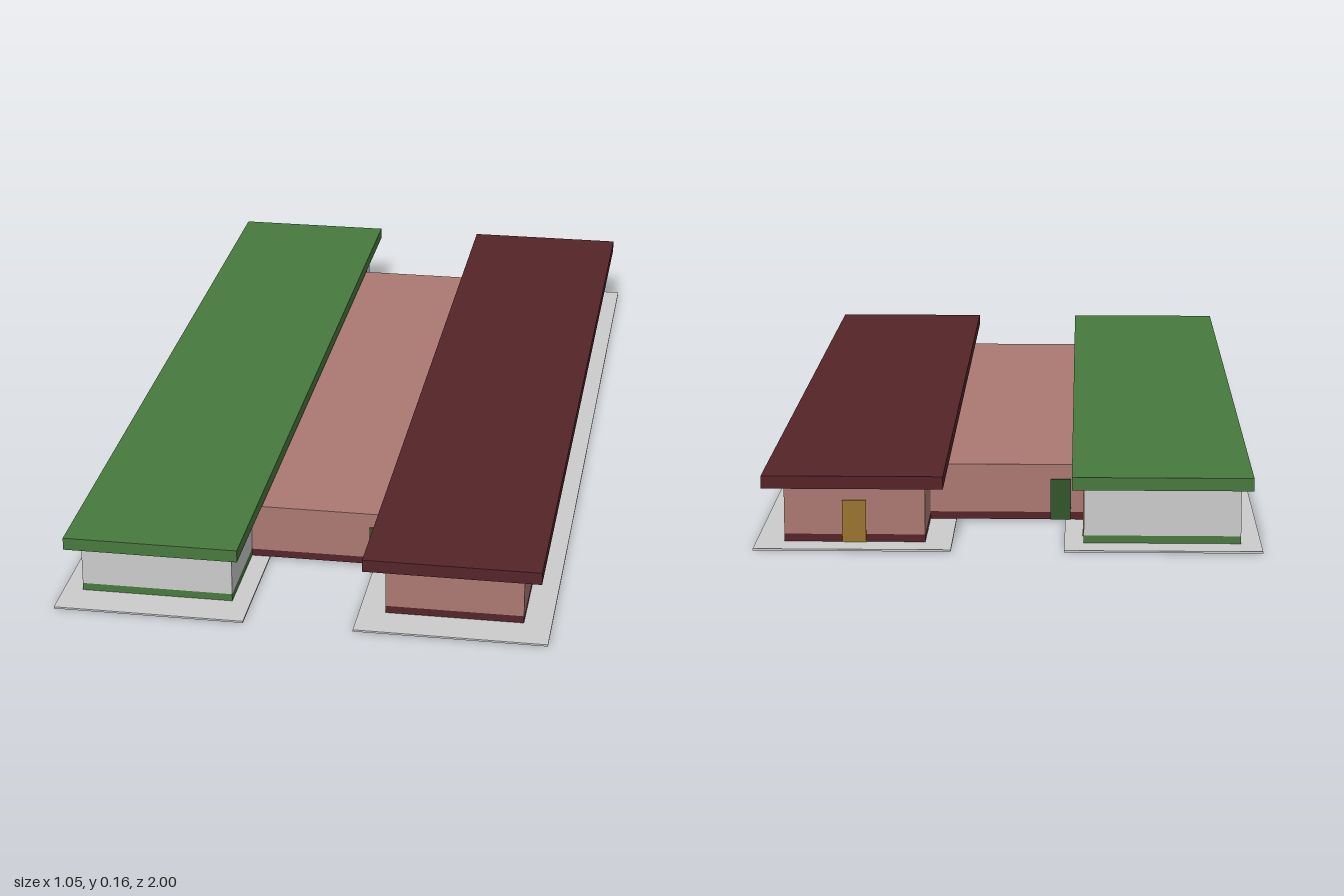
import * as THREE from 'three';

const material = (color) => new THREE.MeshStandardMaterial({ color });

export function createModel() {
  const model = new THREE.Group();
  const grey = material(0xcccccc);
  const green = material(0x48793e);
  const maroon = material(0x552428);
  const pink = material(0xac7872);
  const darkGreen = material(0x33552c);
  const blue = material(0x3d5a7a);
  const gold = material(0x9a7430);

  // Box given by its extents along each axis
  const block = (parent, name, mat, [x0, x1], [y0, y1], [z0, z1]) => {
    const mesh = new THREE.Mesh(new THREE.BoxGeometry(x1 - x0, y1 - y0, z1 - z0), mat);
    mesh.position.set((x0 + x1) / 2, (y0 + y1) / 2, (z0 + z1) / 2);
    mesh.name = name;
    parent.add(mesh);
  };

  // Two long wings: paving slab, skirting band, walls and overhanging flat roof
  const wings = [
    { name: 'rightWing', slab: [-0.527, -0.118], wall: [-0.485, -0.158], roof: [-0.507, -0.133], wallMat: grey, trim: green },
    { name: 'leftWing', slab: [0.116, 0.525], wall: [0.172, 0.466], roof: [0.132, 0.507], wallMat: pink, trim: maroon },
  ];
  for (const w of wings) {
    const wing = new THREE.Group();
    wing.name = w.name;
    block(wing, 'pavingSlab', grey, w.slab, [0, 0.004], [-1, 1]);
    block(wing, 'skirting', w.trim, w.wall, [0.004, 0.02], [-0.937, 0.915]);
    block(wing, 'walls', w.wallMat, w.wall, [0.02, 0.129], [-0.937, 0.915]);
    block(wing, 'roof', w.trim, w.roof, [0.129, 0.156], [-0.99, 0.975]);
    model.add(wing);
  }

  // Lower hall joining the wings
  const hall = new THREE.Group();
  hall.name = 'connectingHall';
  block(hall, 'skirting', maroon, [-0.158, 0.172], [0.004, 0.02], [-0.737, 0.7]);
  block(hall, 'walls', pink, [-0.158, 0.172], [0.02, 0.125], [-0.737, 0.7]);
  model.add(hall);

  // Doors, standing slightly proud of the walls
  const doors = new THREE.Group();
  doors.name = 'doors';
  block(doors, 'mainDoor', blue, [0.46, 0.468], [0.004, 0.107], [-0.077, 0.052]);
  block(doors, 'hallFrontDoor', darkGreen, [0.104, 0.149], [0.004, 0.093], [0.695, 0.703]);
  block(doors, 'hallBackDoor', darkGreen, [-0.13, -0.086], [0.004, 0.093], [-0.74, -0.732]);
  block(doors, 'leftWingBackDoor', gold, [0.295, 0.345], [0.004, 0.093], [-0.94, -0.932]);
  block(doors, 'leftWingInnerDoor', darkGreen, [0.17, 0.178], [0.004, 0.093], [0.83, 0.88]);
  block(doors, 'rightWingInnerDoor', gold, [-0.164, -0.156], [0.004, 0.093], [-0.88, -0.83]);
  model.add(doors);

  return model;
}
